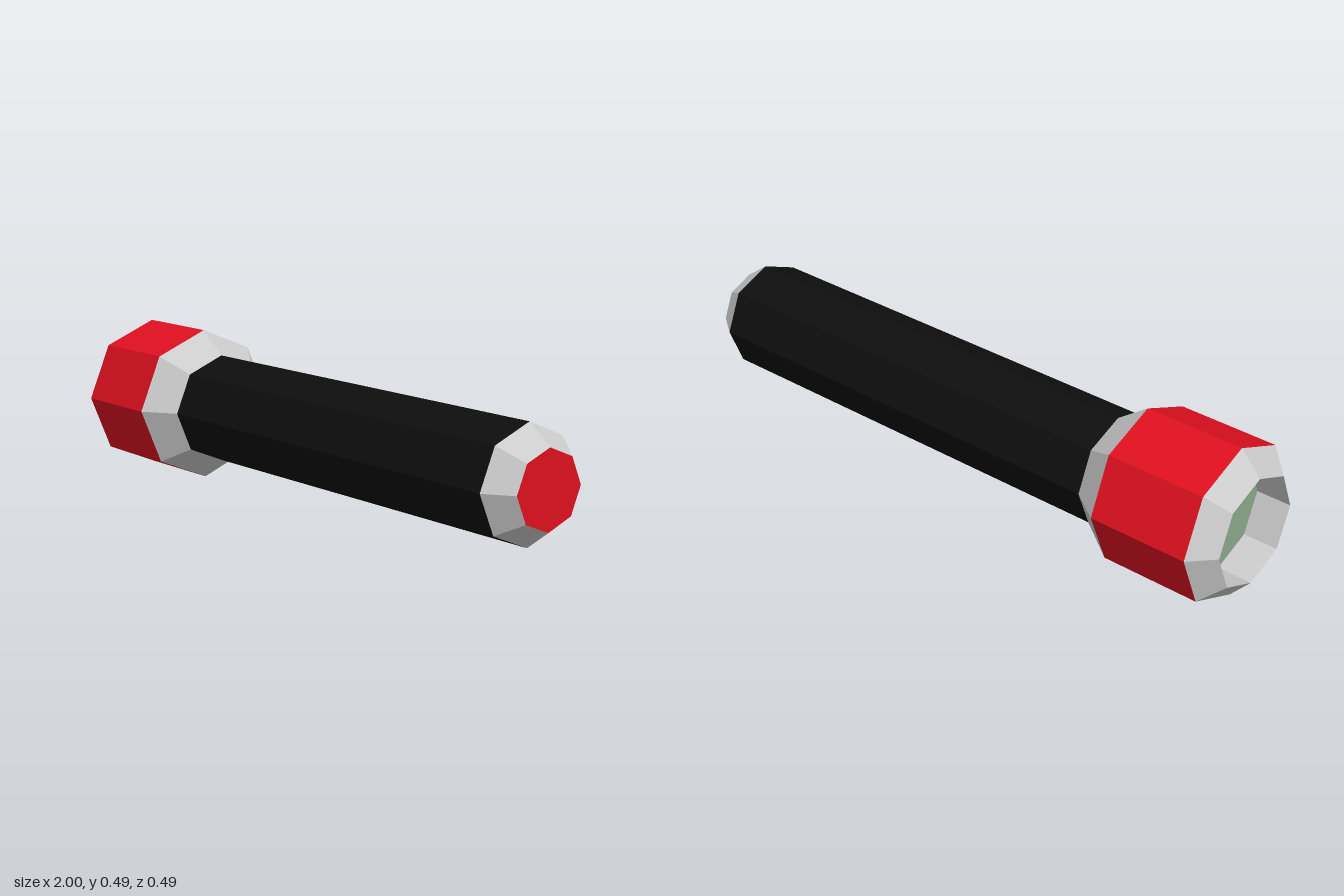
import * as THREE from 'three';

const SIDES = 8;
const AXIS_Y = 0.243;

const material = (color) => new THREE.MeshStandardMaterial({ color, flatShading: true });

export function createModel() {
  const group = new THREE.Group();
  group.name = 'flashlight';
  const grey = material(0xcccccc);
  const red = material(0xe01020);
  const black = material(0x0e0e0e);
  const glass = material(0x8cab8e);
  const inside = material(0xcccccc);
  inside.side = THREE.BackSide;

  const add = (name, geometry, mat, x) => {
    const mesh = new THREE.Mesh(geometry, mat);
    mesh.name = name;
    mesh.position.set(x, AXIS_Y, 0);
    group.add(mesh);
  };

  // Open eight-sided section along x, from (x0, r0) to (x1, r1)
  const section = (name, x0, r0, x1, r1, mat) => {
    const geometry = new THREE.CylinderGeometry(r1, r0, x1 - x0, SIDES, 1, true);
    add(name, geometry.rotateZ(-Math.PI / 2), mat, (x0 + x1) / 2);
  };

  // Flat eight-sided disc facing +x (dir 1) or -x (dir -1)
  const disc = (name, x, r, dir, mat) =>
    add(name, new THREE.CircleGeometry(r, SIDES).rotateY(dir * Math.PI / 2), mat, x);

  // Lamp head with its recessed lens
  section('headRim', -1, 0.172, -0.935, 0.243, grey);
  section('headSleeve', -0.935, 0.243, -0.62, 0.243, red);
  section('headNeck', -0.62, 0.243, -0.52, 0.172, grey);
  section('reflectorWall', -1, 0.172, -0.89, 0.172, inside);
  disc('lens', -0.89, 0.172, -1, glass);

  // Handle and tail
  section('handle', -0.52, 0.172, 0.92, 0.172, black);
  section('tailBevel', 0.92, 0.172, 1, 0.115, grey);
  disc('tailCap', 1, 0.115, 1, red);

  return group;
}
